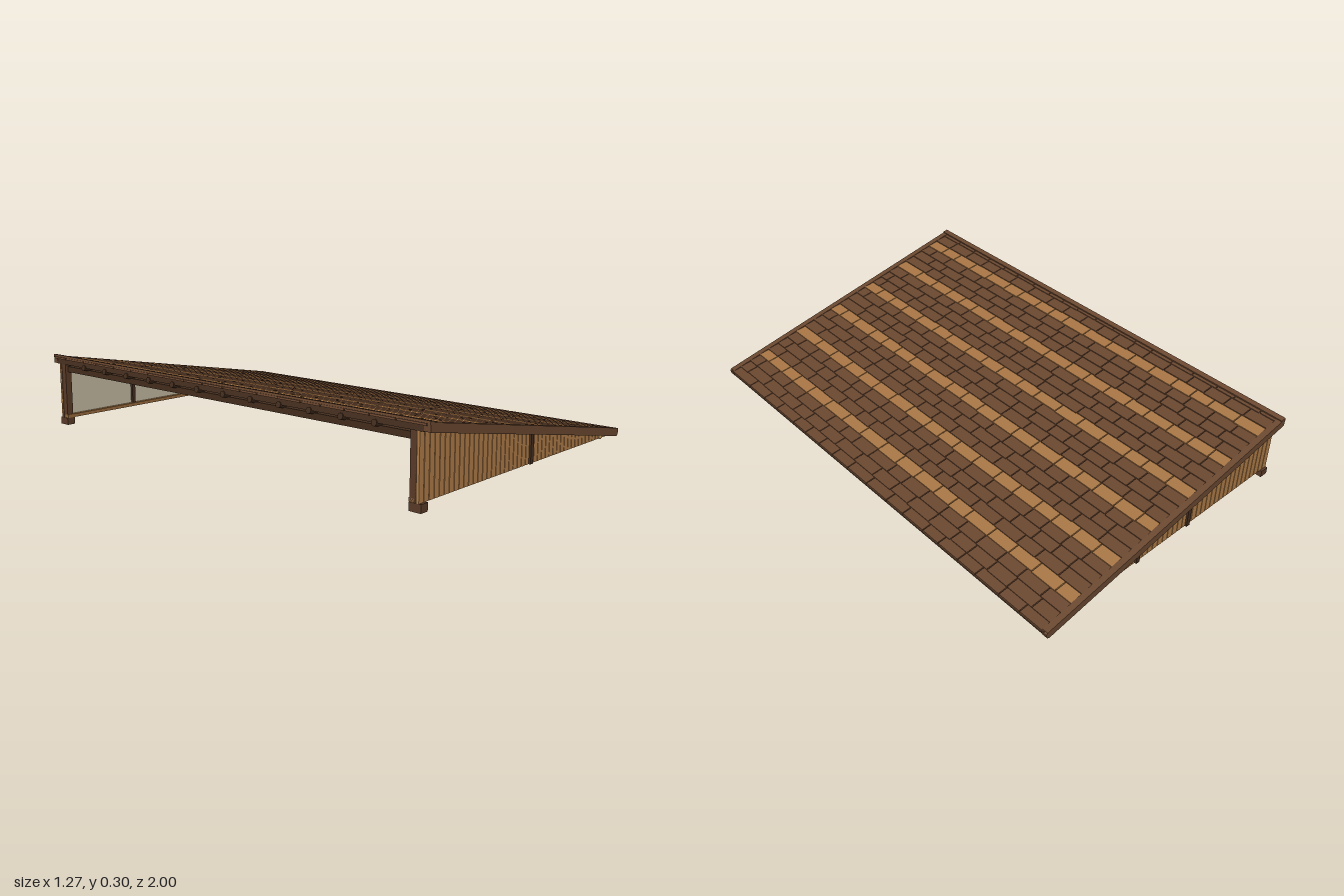
import * as THREE from 'three';
import { mergeGeometries } from 'three/addons/utils/BufferGeometryUtils.js';

const mat = (color) => new THREE.MeshStandardMaterial({ color });
const M = {
  brown: mat(0x6b4830), light: mat(0xa87645), plank: mat(0xb07d48), dark: mat(0x452e1e),
  deck: mat(0x5c4830), plaster: mat(0xc4baa2), sill: mat(0x95693a), foot: mat(0x5a3b27),
  brass: mat(0xd09a3c), endGrain: mat(0xcda56c),
};
const PITCH = Math.atan(0.184), COS = Math.cos(PITCH);
const ROOF_Y = 0.181, BASE = 0.03, WALL_L = -0.632, WALL_R = 0.605;
const underside = (x) => ROOF_Y - 0.184 * x - 0.028;

function add(parent, name, geometry, material, x = 0, y = 0, z = 0) {
  const mesh = new THREE.Mesh(geometry, material);
  mesh.name = name;
  mesh.position.set(x, y, z);
  parent.add(mesh);
  return mesh;
}
const box = (w, h, d) => new THREE.BoxGeometry(w, h, d);

// vertical slice of the gable between x0 and x1, cut to the roof pitch
function gableSlice(x0, x1, depth) {
  const s = new THREE.Shape([
    new THREE.Vector2(x0, BASE), new THREE.Vector2(x1, BASE),
    new THREE.Vector2(x1, underside(x1)), new THREE.Vector2(x0, underside(x0)),
  ]);
  return new THREE.ExtrudeGeometry(s, { depth, bevelEnabled: false });
}

function seeded(seed) {
  return () => {
    seed = (seed * 16807) % 2147483647;
    return seed / 2147483647;
  };
}

// everything that lies in the sloping plane: u along the fall, v along the normal
function buildRoof() {
  const roof = new THREE.Group();
  roof.name = 'roof';
  roof.position.y = ROOF_Y;
  roof.rotation.z = -PITCH;

  add(roof, 'deck', box(1.27, 0.01, 1.98), M.deck, 0, -0.018, 0);

  // overlapping shingle courses, every fourth one light
  const rand = seeded(17), pitch = 0.0495 / COS;
  for (let i = -1; i < 25; i++) {
    const pieces = [];
    const u = -0.6 / COS + (i + 0.5) * pitch;
    let z = -0.99;
    while (z < 0.985) {
      let end = z + 0.085 + rand() * 0.045;
      if (end > 0.94) end = 0.99;
      const jitter = (rand() - 0.5) * 0.004;
      const g = box(i < 0 ? 0.04 : 0.058, 0.008, end - z - 0.004);
      g.rotateZ(0.09);
      g.translate(Math.min(u + jitter + (i < 0 ? 0.008 : 0), 0.614), -0.007, (z + end) / 2);
      pieces.push(g);
      z = end;
    }
    add(roof, 'shingleRow', mergeGeometries(pieces), i >= 0 && i % 4 === 1 ? M.light : M.brown);
  }

  // verge boards with a rounded lower end
  const verge = new THREE.Shape();
  verge.moveTo(-0.642, 0);
  verge.lineTo(-0.636, -0.032);
  verge.lineTo(0.636, -0.032);
  verge.lineTo(0.644, -0.024);
  verge.lineTo(0.645, -0.006);
  verge.lineTo(0.638, 0);
  const vergeGeo = new THREE.ExtrudeGeometry(verge, { depth: 0.025, bevelEnabled: false });
  for (const z of [0.975, -1]) add(roof, 'vergeBoard', vergeGeo, M.brown, 0, 0, z);

  // boards along the high and low edges
  add(roof, 'ridgeCap', box(0.022, 0.012, 2), M.brown, -0.632, -0.002, 0);
  add(roof, 'ridgeFascia', box(0.012, 0.026, 1.95), M.dark, -0.632, -0.02, 0);
  add(roof, 'eaveFascia', box(0.012, 0.018, 1.95), M.dark, 0.637, -0.015, 0);

  // round rafters
  const rafter = new THREE.CylinderGeometry(0.012, 0.012, 1.265, 10);
  rafter.rotateZ(Math.PI / 2);
  for (let i = 0; i < 12; i++) add(roof, 'rafter', rafter, M.dark, -0.01, -0.033, (i - 5.5) * 0.142);
  return roof;
}

// one end wall, built facing +z; studs and battens are given by their x positions
function buildGable(side, battens) {
  const gable = new THREE.Group();
  gable.name = side > 0 ? 'frontGable' : 'backGable';
  const slab = (name, x0, x1, zIn, zOut, material) =>
    add(gable, name, gableSlice(x0, x1, zOut - zIn), material, 0, 0, side > 0 ? zIn : -zOut);

  slab('plasterLining', WALL_L + 0.004, WALL_R, 0.937, 0.942, M.plaster);
  slab('backing', WALL_L + 0.002, WALL_R, 0.942, 0.951, M.dark);
  const count = 45, step = (WALL_R - WALL_L) / count;
  for (let i = 0; i < count; i++) {
    const x = WALL_L + i * step;
    slab('plank', x, x + step - 0.003, 0.951, 0.96, M.plank);
  }
  for (const x of battens) slab('batten', x - 0.009, x + 0.009, 0.96, 0.968, M.dark);
  for (const x of [-0.27, 0.03, 0.33]) slab('stud', x - 0.008, x + 0.008, 0.925, 0.937, M.dark);
  slab('cornerPost', WALL_L + 0.002, WALL_L + 0.03, 0.922, 0.945, M.foot);

  // sill, rail under the roof and foot block
  add(gable, 'sill', box(1.2, 0.014, 0.02), M.sill, -0.03, BASE + 0.007, side * 0.929);
  const rail = add(gable, 'topRail', box(1.2 / COS, 0.016, 0.016), M.dark, -0.02, underside(-0.02) - 0.008, side * 0.93);
  rail.rotation.z = -PITCH;
  add(gable, 'foot', box(0.036, 0.03, 0.048), M.foot, -0.614, 0.015, side * 0.945);
  return gable;
}

// small lamp on a thin rod
function buildLantern(z) {
  const lantern = new THREE.Group();
  lantern.name = 'lantern';
  lantern.position.set(-0.05, 0.09, z);
  add(lantern, 'rod', new THREE.CylinderGeometry(0.0015, 0.0015, 0.07, 6), M.dark, 0, 0.04, 0);
  add(lantern, 'lampCap', new THREE.ConeGeometry(0.012, 0.008, 10), M.dark, 0, 0.013, 0);
  add(lantern, 'lampGlass', new THREE.CylinderGeometry(0.009, 0.008, 0.018, 10), M.brass);
  return lantern;
}

export function createModel() {
  const model = new THREE.Group();
  model.name = 'leanToRoof';
  model.add(buildRoof(), buildGable(1, [0.03]), buildGable(-1, [0.14, -0.14]));

  // round eave beam with pale cut ends, and the plate under the high edge
  const beam = new THREE.CylinderGeometry(0.016, 0.016, 1.9, 12);
  beam.rotateX(Math.PI / 2);
  add(model, 'eaveBeam', beam, M.dark, 0.556, 0.041, 0);
  const cap = new THREE.CylinderGeometry(0.014, 0.014, 0.004, 12);
  cap.rotateX(Math.PI / 2);
  for (const s of [-1, 1]) add(model, 'beamEnd', cap, M.endGrain, 0.556, 0.041, s * 0.962);
  add(model, 'highPlate', box(0.024, 0.024, 1.86), M.dark, -0.606, 0.242, 0);

  for (const z of [-0.355, 0.355]) model.add(buildLantern(z));
  return model;
}
